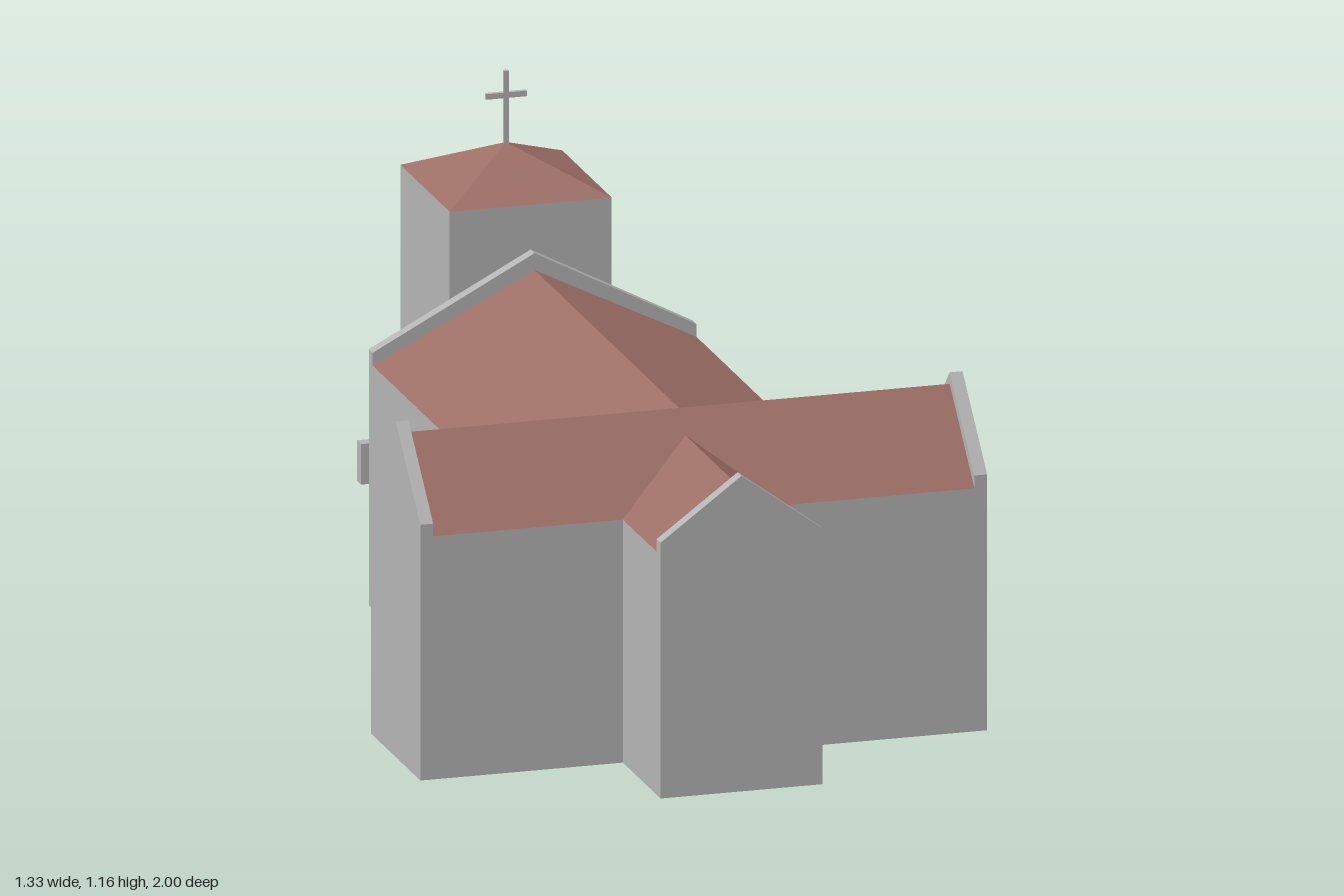
import * as THREE from 'three';

const stone = new THREE.MeshStandardMaterial({ color: 0xb4b4b4, side: THREE.DoubleSide });
stone.name = 'stone';
const tile = new THREE.MeshStandardMaterial({ color: 0x9c6f66, side: THREE.DoubleSide });
tile.name = 'roof tile';

// Flat convex polygons, each a list of [x, y, z] corners
function faces(polys) {
  const pos = [];
  for (const p of polys)
    for (let i = 1; i < p.length - 1; i++) pos.push(...p[0], ...p[i], ...p[i + 1]);
  const g = new THREE.BufferGeometry();
  g.setAttribute('position', new THREE.Float32BufferAttribute(pos, 3));
  g.computeVertexNormals();
  return g;
}

// Adds the x-mirrored copy of every polygon
const mirrored = polys => polys.concat(
  polys.map(p => p.map(([x, y, z]) => [-x, y, z]).reverse()));

// Four walls of a rectangular block, without top and bottom
function walls(hx, z0, z1, y0, y1) {
  const c = [[-hx, z1], [hx, z1], [hx, z0], [-hx, z0]];
  return faces(c.map(([ax, az], i) => {
    const [bx, bz] = c[(i + 1) % 4];
    return [[ax, y0, az], [bx, y0, bz], [bx, y1, bz], [ax, y1, az]];
  }));
}

function extrude(points, depth) {
  const shape = new THREE.Shape(points.map(([x, y]) => new THREE.Vector2(x, y)));
  return new THREE.ExtrudeGeometry(shape, { depth, bevelEnabled: false });
}

export function createModel() {
  const model = new THREE.Group();
  const add = (name, geometry, material, parent = model) => {
    const mesh = new THREE.Mesh(geometry, material);
    mesh.name = name;
    parent.add(mesh);
    return mesh;
  };

  const EAVE = 0.57, RIDGE = 0.76, FLOOR = 0.28;

  // Wall blocks: open foundation, floor and upper walls
  const blocks = [
    ['nave', 0.38, -0.62, 0.33],
    ['transept', 0.665, 0.33, 0.71],
    ['porch', 0.19, 0.71, 1.0],
  ];
  for (const [name, hx, z0, z1] of blocks) {
    add(name + 'Foundation', walls(hx, z0, z1, 0, FLOOR), stone);
    add(name + 'Floor', faces([[[-hx, FLOOR, z0], [hx, FLOOR, z0], [hx, FLOOR, z1], [-hx, FLOOR, z1]]]), stone);
    add(name + 'Walls', walls(hx, z0, z1, FLOOR, EAVE), stone);
  }

  // Roofs, meeting along the valleys
  add('naveRoof', faces(mirrored([
    [[0, RIDGE, -0.59], [0, RIDGE, 0.52], [0.38, EAVE, 0.33], [0.38, EAVE, -0.59]],
  ])), tile);
  add('transeptRoof', faces(mirrored([
    [[0, RIDGE, 0.52], [0, 0.71, 0.57], [0.19, EAVE, 0.71], [0.635, EAVE, 0.71], [0.635, RIDGE, 0.52]],
    [[0, RIDGE, 0.52], [0.635, RIDGE, 0.52], [0.635, EAVE, 0.33], [0.38, EAVE, 0.33]],
  ])), tile);
  add('porchRoof', faces(mirrored([
    [[0, 0.71, 0.57], [0, 0.71, 0.97], [0.19, EAVE, 0.97], [0.19, EAVE, 0.71]],
  ])), tile);

  // Gable parapets standing above the roofs
  const gable = (half, apex) => extrude(
    [[-half, EAVE], [half, EAVE], [half, 0.6], [0, apex], [-half, 0.6]], 0.03);
  add('porchGable', gable(0.19, 0.74), stone).position.z = 0.97;
  add('naveGable', gable(0.38, 0.8), stone).position.z = -0.62;
  for (const x of [-0.665, 0.635]) {
    const g = add('transeptGable', gable(0.19, 0.787), stone);
    g.rotation.y = Math.PI / 2;
    g.position.set(x, 0, 0.52);
  }

  // Bell tower with pyramid roof and cross
  const tz = -0.81;
  add('towerWalls', walls(0.19, -1, -0.62, 0, 0.905), stone);
  const corners = [[-0.19, tz + 0.19], [0.19, tz + 0.19], [0.19, tz - 0.19], [-0.19, tz - 0.19]];
  add('towerRoof', faces(corners.map(([x, z], i) => {
    const [x2, z2] = corners[(i + 1) % 4];
    return [[x, 0.905, z], [x2, 0.905, z2], [0, 0.997, tz]];
  })), tile);
  const cross = new THREE.Group();
  cross.name = 'cross';
  cross.position.z = tz;
  add('crossPost', new THREE.BoxGeometry(0.012, 0.18, 0.01), stone, cross).position.y = 1.075;
  add('crossArm', new THREE.BoxGeometry(0.096, 0.013, 0.01), stone, cross).position.y = 1.108;
  model.add(cross);

  // Staircases: stepped flight between two sloping side walls, running out along local +z
  function staircase(x, z, angle) {
    const stair = new THREE.Group();
    stair.name = 'staircase';
    const side = [[0, 0], [0.13, 0], [0.13, 0.095], [0.1, 0.095], [0.027, 0.158], [0, 0.164]];
    const count = 5, rise = 0.016, run = 0.022;
    const flight = [[0, 0], [count * run, 0]];
    for (let i = 0; i < count; i++)
      flight.push([(count - i) * run, (i + 1) * rise], [(count - i - 1) * run, (i + 1) * rise]);
    const place = (name, profile, width, left) => {
      const m = add(name, extrude(profile, width), stone, stair);
      m.rotation.y = -Math.PI / 2;
      m.position.x = left + width;
    };
    place('stairWall', side, 0.032, -0.108);
    place('stairWall', side, 0.032, 0.076);
    place('steps', flight, 0.152, -0.076);
    stair.position.set(x, 0.2, z);
    stair.rotation.y = angle;
    model.add(stair);
  }
  for (const s of [-1, 1]) {
    staircase(s * 0.517, 0.335, Math.PI);
    staircase(s * 0.188, -0.807, s * Math.PI / 2);
  }
  return model;
}
